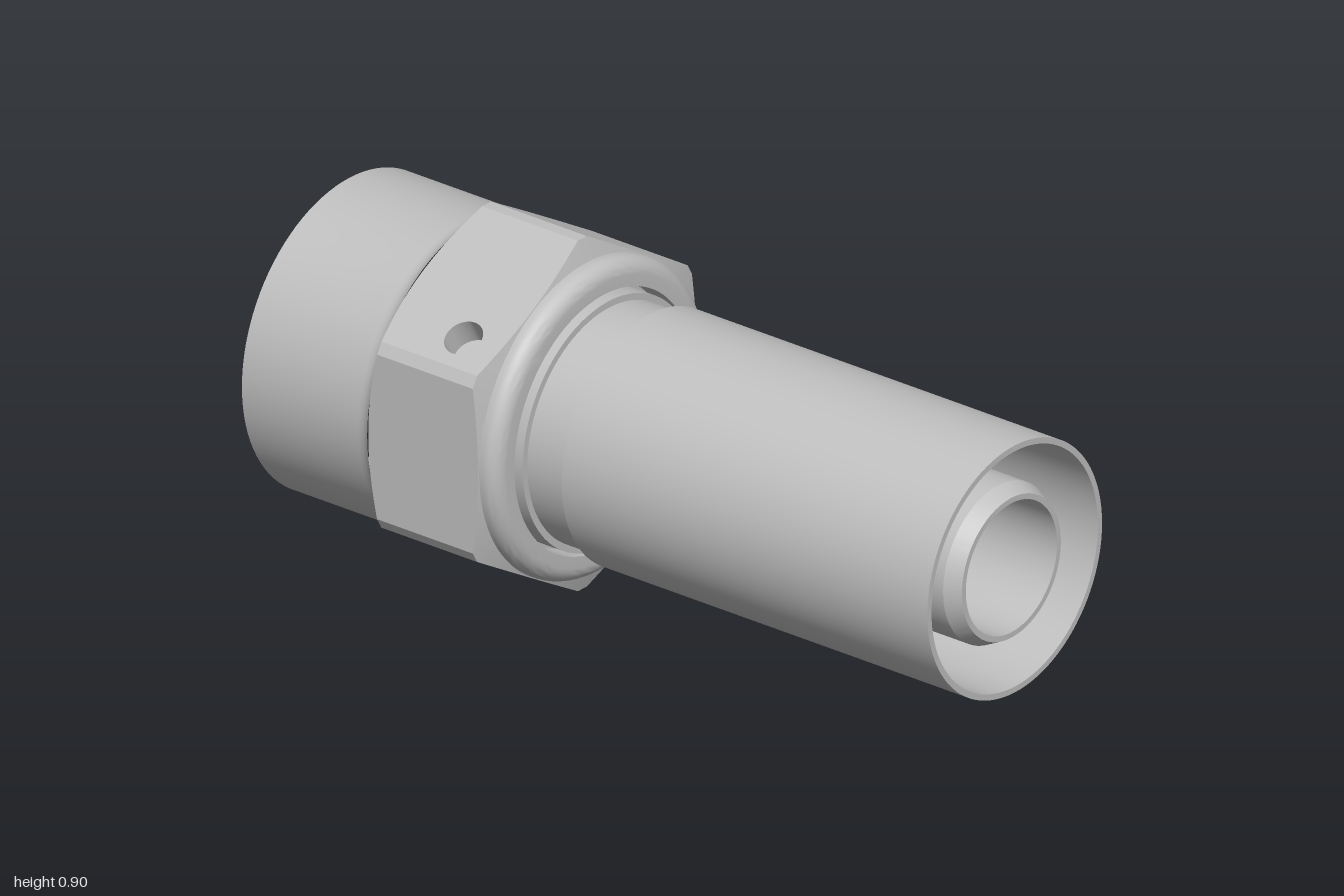
import * as THREE from 'three';
import { toCreasedNormals } from 'three/addons/utils/BufferGeometryUtils.js';

const AXIS_Y = 0.4515;
const FLAT = 0.399;      // axis to hex flat
const CORNER = 0.4515;   // axis to truncated hex corner
const DEG = Math.PI / 180;

const metal = new THREE.MeshStandardMaterial({ color: 0xc0c0c0 });
metal.name = 'brushed steel';

function mesh(name, geometry) {
  const m = new THREE.Mesh(geometry, metal);
  m.name = name;
  return m;
}

// Turned part along x from [x, radius] points; outer surfaces run towards +x
function turned(name, profile) {
  const points = profile.map(([x, r]) => new THREE.Vector2(r, x));
  const g = new THREE.LatheGeometry(points, 96);
  g.rotateZ(-Math.PI / 2);
  return mesh(name, toCreasedNormals(g, 0.45));
}

function arc(cx, cr, radius, from, to, steps = 8) {
  return Array.from({ length: steps + 1 }, (_, i) => {
    const a = (from + (to - from) * i / steps) * DEG;
    return [cx + radius * Math.cos(a), cr + radius * Math.sin(a)];
  });
}

// Conical chamfers cut scalloped ends into the hexagon
const leftEnd = r => -0.615 + 0.5 * (r - FLAT);
const rightEnd = r => -0.285 - 0.3 * (r - FLAT);

// Half width of the wide flats and of the narrow corner strips
const STRIP = (FLAT / Math.cos(30 * DEG) - CORNER) * Math.tan(60 * DEG);
const WIDE = FLAT * Math.tan(30 * DEG) - STRIP / Math.sin(30 * DEG) * 0.5 / Math.cos(30 * DEG)
  + (STRIP / Math.cos(30 * DEG) - STRIP / Math.cos(30 * DEG));

function hexagon() {
  const group = new THREE.Group();
  group.name = 'hexagon';
  const strip = STRIP;
  // Exact meeting point of a flat with its corner strip
  const meet = Math.sqrt(CORNER * CORNER + strip * strip - FLAT * FLAT);

  for (let i = 0; i < 12; i++) {
    const isFlat = i % 2 === 1;
    const dist = isFlat ? FLAT : CORNER;
    const half = isFlat ? meet : strip;
    const steps = isFlat ? 16 : 2;
    const ts = Array.from({ length: steps + 1 }, (_, k) => -half + 2 * half * k / steps);
    const outline = [
      ...ts.map(t => new THREE.Vector2(rightEnd(Math.hypot(dist, t)), t)),
      ...ts.slice().reverse().map(t => new THREE.Vector2(leftEnd(Math.hypot(dist, t)), t)),
    ];
    const shape = new THREE.Shape(outline);
    const face = new THREE.Group();
    face.name = isFlat ? 'hexFlat' : 'hexCorner';
    face.rotation.x = (i * 30 - 90) * DEG;

    // Drilled hole in the upper front flat
    if (i === 1) {
      const hx = -0.4, ht = -0.13, hr = 0.048, depth = 0.07;
      shape.holes.push(new THREE.Path().absarc(hx, ht, hr, 0, Math.PI * 2, true));
      const rim = [[0, 0], [hr, 0], [hr, depth]].map(([r, y]) => new THREE.Vector2(r, y));
      // Reversed profile makes the wall and floor face into the hole
      const g = new THREE.LatheGeometry(rim.reverse(), 32);
      g.rotateX(Math.PI / 2);
      const hole = mesh('drilledHole', toCreasedNormals(g, 0.5));
      hole.position.set(hx, ht, FLAT - depth);
      face.add(hole);
    }
    const g = new THREE.ShapeGeometry(shape, 16);
    g.translate(0, 0, dist);
    face.add(mesh('hexFace', g));

    // Chamfer strips from the scalloped edges down to the body
    const pos = [];
    const base = 0.385;
    const point = (t, end, inner) => {
      const r = Math.hypot(dist, t), s = inner ? base / r : 1;
      return [end(inner ? base : r), t * s, dist * s];
    };
    for (let k = 0; k < steps; k++) {
      for (const end of [rightEnd, leftEnd]) {
        const a = point(ts[k], end, true), b = point(ts[k + 1], end, true);
        const c = point(ts[k + 1], end, false), d = point(ts[k], end, false);
        if (end === rightEnd) pos.push(...a, ...b, ...c, ...a, ...c, ...d);
        else pos.push(...a, ...c, ...b, ...a, ...d, ...c);
      }
    }
    const cone = new THREE.BufferGeometry();
    cone.setAttribute('position', new THREE.Float32BufferAttribute(pos, 3));
    face.add(mesh('hexChamfer', toCreasedNormals(cone, 0.4)));
    group.add(face);
  }
  return group;
}

export function createModel() {
  const model = new THREE.Group();
  model.name = 'hoseFitting';
  const fitting = new THREE.Group();
  fitting.name = 'fitting';
  fitting.position.y = AXIS_Y;
  model.add(fitting);

  // Swivel nut: rounded collar, bore, open mouth, sleeve and flare into the hexagon
  fitting.add(turned('nutBody', [
    [-0.3, 0.396],
    ...arc(-0.275, 0.356, 0.04, 90, 0),
    [-0.235, 0.327], [-0.34, 0.327], [-0.5, 0.327], [-0.965, 0.327],
    [-1, 0.358], [-1, 0.393], [-0.65, 0.393],
    [-0.635, 0.395], [-0.622, 0.4], [-0.61, 0.409],
  ]));
  fitting.add(hexagon());

  // Crimped shell: small lip, neck, long sleeve and the deep annular pocket
  fitting.add(turned('shell', [
    [-0.3, 0.2], [-0.3, 0.315], [-0.22, 0.315], [-0.22, 0.298], [-0.1, 0.298],
    [-0.1, 0.318], [1, 0.318], [1, 0.303], [0, 0.303],
    [-0.03, 0.275], [-0.03, 0.19],
  ]));

  // Inner nipple: sealing head in the nut, tail inside the shell, through bore
  fitting.add(turned('nipple', [
    [-0.58, 0.24], [-0.57, 0.27], [-0.42, 0.325], [-0.3, 0.325], [-0.3, 0.2],
    [0.95, 0.2], [0.99, 0.18], [0.99, 0.166],
    [-0.5, 0.166], [-0.58, 0.2], [-0.58, 0.24],
  ]));
  return model;
}
